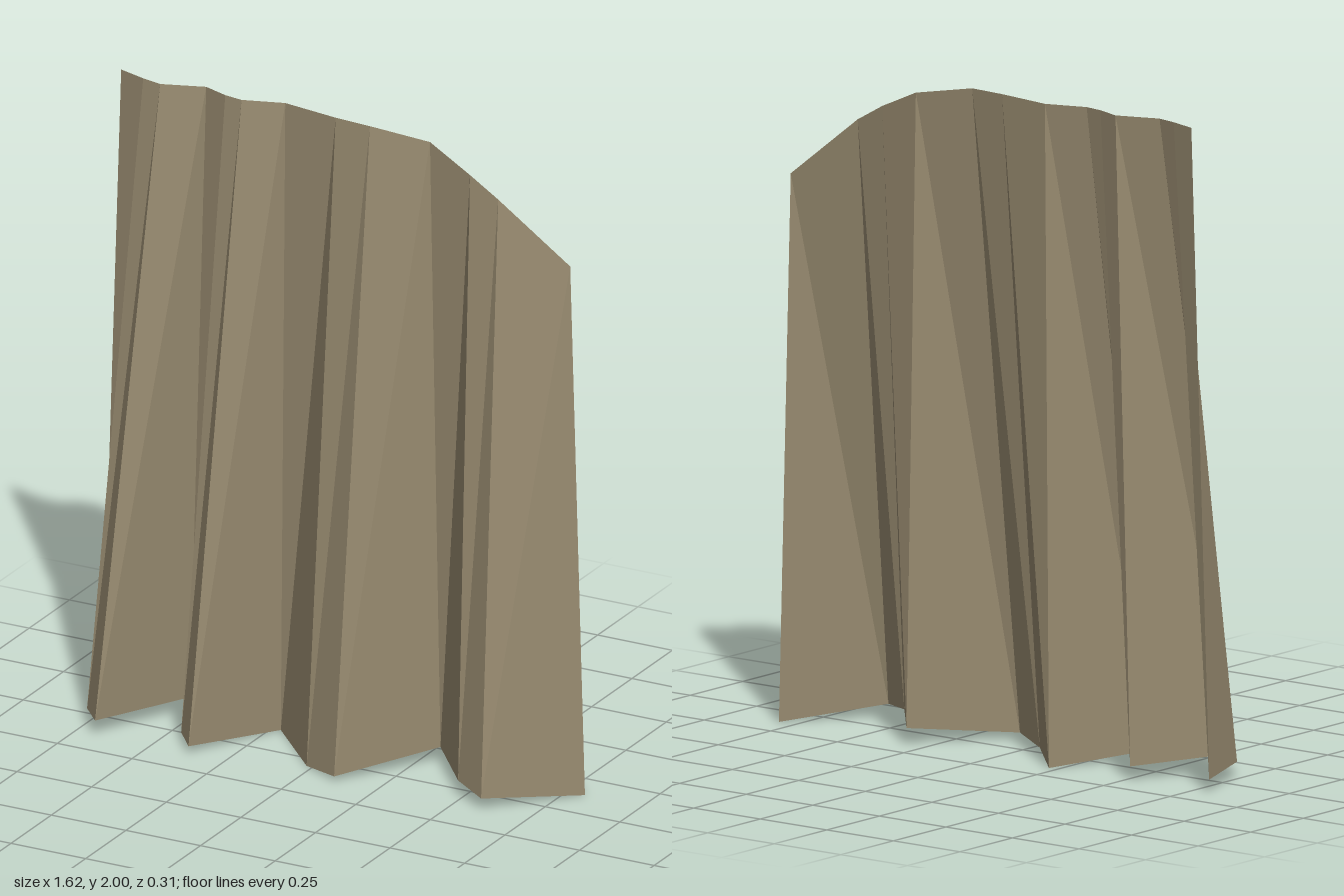
import * as THREE from 'three';

// Matching points [x, y, z] along the hem and the upper edge, left to right in front view.
const hem = [
  [-0.81, 0.04, -0.14], [-0.745, 0.05, 0.075], [-0.675, 0.053, 0.155], [-0.525, 0.045, -0.155],
  [-0.435, 0.03, 0.065], [-0.37, 0.025, 0.14], [-0.22, 0, -0.155],
  [-0.02, 0, 0.055], [0.11, 0.017, 0.125], [0.315, 0.05, -0.155],
  [0.485, 0.05, 0.05], [0.60, 0.04, 0.12], [0.81, 0, -0.135],
];
const top = [
  [-0.755, 2, -0.155], [-0.665, 2, -0.125], [-0.60, 2, -0.11], [-0.47, 2, -0.155],
  [-0.39, 2, -0.125], [-0.33, 2, -0.115], [-0.205, 2, -0.155],
  [-0.02, 2, -0.125], [0.10, 2, -0.115], [0.28, 1.97, -0.155],
  [0.43, 1.905, -0.125], [0.53, 1.85, -0.115], [0.75, 1.665, -0.155],
];

// One pleat: three panels stretched between the two edges, starting at a valley.
function pleatGeometry(start) {
  const pos = [];
  for (let i = start; i < start + 3; i++) {
    pos.push(...hem[i], ...hem[i + 1], ...top[i + 1]);
    pos.push(...hem[i], ...top[i + 1], ...top[i]);
  }
  const g = new THREE.BufferGeometry();
  g.setAttribute('position', new THREE.Float32BufferAttribute(pos, 3));
  g.computeVertexNormals();
  return g;
}

export function createModel() {
  const group = new THREE.Group();
  group.name = 'drapedCloth';
  const cloth = new THREE.MeshStandardMaterial({
    color: 0x988b70, flatShading: true, side: THREE.DoubleSide,
  });
  cloth.name = 'tanCloth';

  // Four pleats side by side
  for (let p = 0; p < 4; p++) {
    const mesh = new THREE.Mesh(pleatGeometry(p * 3), cloth);
    mesh.name = `pleat${p + 1}`;
    group.add(mesh);
  }
  return group;
}
